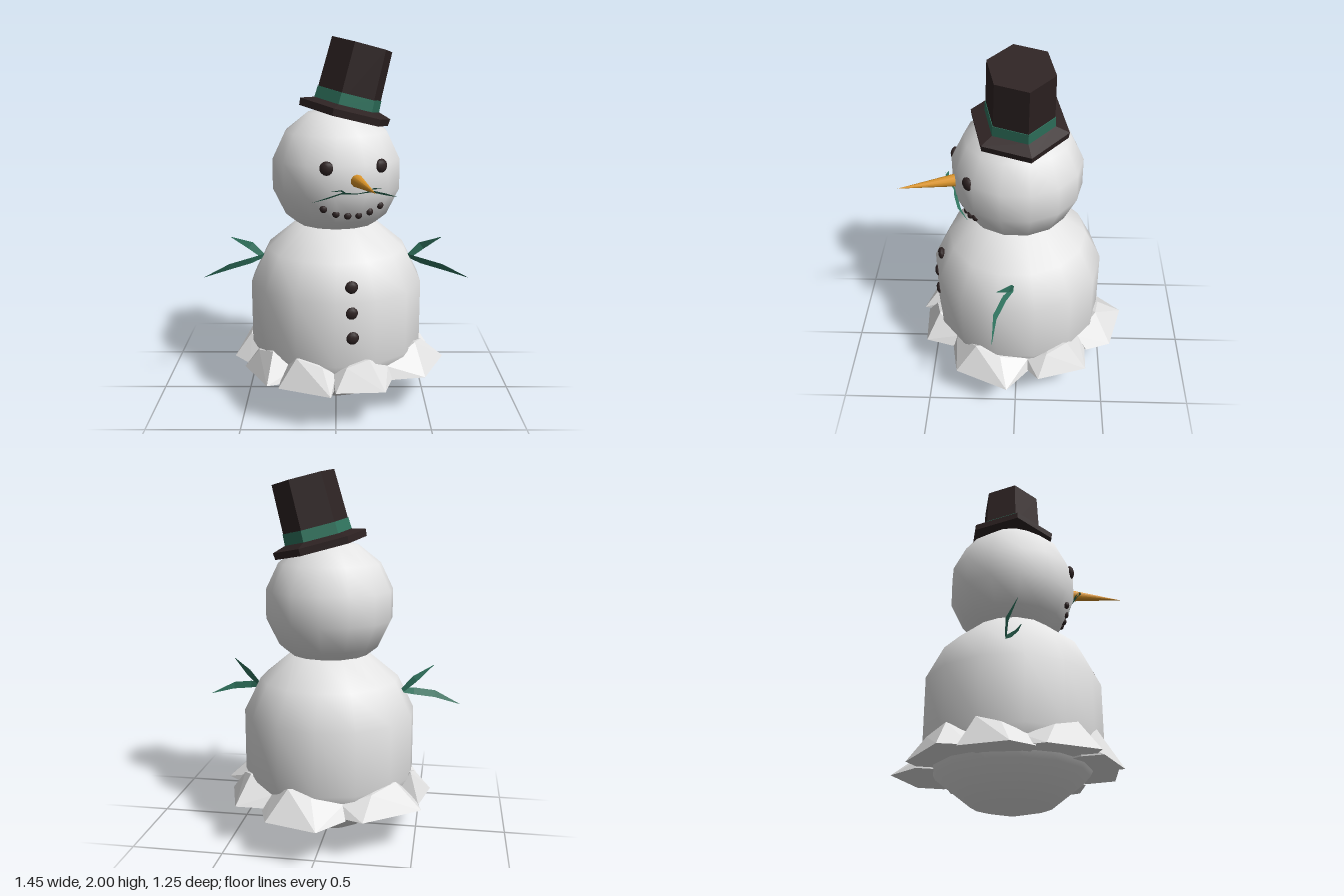
import * as THREE from 'three';
import { ConvexGeometry } from 'three/addons/geometries/ConvexGeometry.js';

const makeMaterial = (name, color, side = THREE.FrontSide) =>
  Object.assign(new THREE.MeshStandardMaterial({ color, side }), { name });
const V = (x, y, z) => new THREE.Vector3(x, y, z);

export function createModel() {
  const snow = makeMaterial('snow', 0xe4e4e4);
  const dark = makeMaterial('charcoal', 0x2e2323);
  const green = makeMaterial('green', 0x30745f, THREE.DoubleSide);
  const orange = makeMaterial('carrot', 0xdd962a);

  const model = new THREE.Group();
  model.name = 'snowman';

  const add = (name, geometry, material, parent = model) => {
    const mesh = new THREE.Mesh(geometry, material);
    mesh.name = name;
    parent.add(mesh);
    return mesh;
  };
  const faceted = (geometry) => {
    const flat = geometry.toNonIndexed();
    flat.computeVertexNormals();
    return flat;
  };

  // Body and head: coarse but smooth-shaded balls
  const bodyProfile = [[0, 0], [0.215, 0.05], [0.4, 0.195], [0.477, 0.34], [0.477, 0.685],
    [0.385, 0.87], [0.215, 1.01], [0, 1.05]].map(([r, y]) => new THREE.Vector2(r, y));
  add('body', new THREE.LatheGeometry(bodyProfile, 14), snow);

  const headY = 1.283;
  const head = add('head', new THREE.SphereGeometry(0.358, 14, 7), snow);
  head.position.y = headY;
  head.rotation.y = Math.PI / 2;

  // Snow lumps around the base: each has four outline corners as x, z pairs
  const lumps = [
    [[-0.16, -0.47], [-0.03, -0.63], [0.25, -0.55], [0.3, -0.41]],
    [[0.28, -0.4], [0.45, -0.4], [0.535, -0.13], [0.47, -0.07]],
    [[0.46, -0.08], [0.61, 0.045], [0.48, 0.335], [0.29, 0.37]],
    [[0.3, 0.37], [0.255, 0.53], [0, 0.545], [-0.02, 0.46]],
    [[0, 0.46], [-0.025, 0.575], [-0.3, 0.47], [-0.28, 0.36]],
    [[-0.24, 0.42], [-0.36, 0.46], [-0.5, 0.21], [-0.47, 0.1]],
    [[-0.48, 0.16], [-0.575, 0.05], [-0.52, -0.2], [-0.45, -0.15]],
    [[-0.5, -0.14], [-0.54, -0.29], [-0.25, -0.5], [-0.14, -0.46]],
  ];
  lumps.forEach((outline, i) => {
    const base = 0.22 + 0.008 * (i % 2);
    const points = [];
    const atRadius = ([x, z], r, y) => {
      const k = r / Math.hypot(x, z);
      points.push(V(x * k, y, z * k));
    };
    outline.forEach(([x, z]) => points.push(V(x, base, z)));
    const [a, b, c, d] = outline;
    const mix = (p, q, t) => [p[0] + (q[0] - p[0]) * t, p[1] + (q[1] - p[1]) * t];
    [a, d].forEach((p) => { atRadius(p, 0.4, base); atRadius(p, 0.44, 0.29); });
    // Uneven ridge along the top
    const high = i % 2 ? 0.375 : 0.34;
    atRadius(mix(b, c, 0.2), 0.485, high);
    atRadius(mix(b, c, 0.75), 0.485, 0.715 - high);
    atRadius(mix(b, c, 0.5), 0.42, 0.36);
    add('snowLump', new ConvexGeometry(points), snow);
  });

  // Coal pieces: small flattened balls turned to face outwards
  const coal = (name, x, y, z, r, parent, depth = 0.6) => {
    const mesh = add(name, new THREE.SphereGeometry(r, 10, 7), dark, parent);
    mesh.position.set(x, y, z);
    mesh.scale.z = depth;
    mesh.rotation.y = Math.atan2(x, z);
  };
  coal('button', 0.08, 0.76, 0.43, 0.034, model);
  coal('button', 0.08, 0.63, 0.455, 0.034, model);
  coal('button', 0.085, 0.495, 0.455, 0.035, model);

  // Tapered leaf ribbon along a few points
  const ribbon = (name, path, offset, parent) => {
    const positions = [], index = [];
    path.forEach((p, i) => {
      const taper = i === path.length - 1 ? 0.05 : i === 0 ? 0.6 : 1;
      [-1, 1].forEach((s) => positions.push(...p.map((v, k) => v + s * taper * offset[k])));
      if (i) {
        const n = 2 * i;
        index.push(n - 2, n, n - 1, n, n + 1, n - 1);
      }
    });
    const geometry = new THREE.BufferGeometry();
    geometry.setAttribute('position', new THREE.Float32BufferAttribute(positions, 3));
    geometry.setIndex(index);
    add(name, faceted(geometry), green, parent);
  };

  // Face, turned slightly to the model's left
  const face = new THREE.Group();
  face.name = 'face';
  face.rotation.y = 0.31;
  model.add(face);
  const onHead = (x, y) => Math.sqrt(0.346 ** 2 - x ** 2 - (y - headY) ** 2);

  const noseFrom = V(0.005, 1.29, 0.31), noseTo = V(-0.01, 1.285, 0.645);
  const axis = noseTo.clone().sub(noseFrom);
  const nose = add('nose', new THREE.ConeGeometry(0.037, axis.length(), 10), orange, face);
  nose.position.copy(noseFrom).lerp(noseTo, 0.5);
  nose.quaternion.setFromUnitVectors(V(0, 1, 0), axis.normalize());

  for (const s of [-1, 1]) {
    coal('eye', s * 0.147, 1.355, onHead(0.147, 1.355), 0.037, face);
    [[0.03, 1.1], [0.092, 1.113], [0.155, 1.14]].forEach(([x, y]) =>
      coal('mouthCoal', s * x, y, onHead(x, y), 0.02, face, 0.8));

    // Moustache half with a small side leaf
    ribbon('moustache', [[0, 1.223, 0.345], [s * 0.08, 1.234, 0.355],
      [s * 0.155, 1.214, 0.355], [s * 0.23, 1.19, 0.33]], [0, 0.006, 0.009], face);
    ribbon('moustacheLeaf', [[s * 0.05, 1.225, 0.345], [s * 0.085, 1.247, 0.355],
      [s * 0.14, 1.248, 0.365]], [0, 0.005, 0.006], face);

    // Leafy arm with a long lower blade and a short upper blade
    const arm = new THREE.Group();
    arm.name = s > 0 ? 'leftArm' : 'rightArm';
    model.add(arm);
    ribbon('lowerBlade', [[s * 0.4, 0.805, 0.005], [s * 0.47, 0.79, 0.055],
      [s * 0.585, 0.767, 0.1], [s * 0.725, 0.71, 0.11]], [0, 0.018, 0.008], arm);
    ribbon('upperBlade', [[s * 0.405, 0.8, 0.01], [s * 0.475, 0.868, 0.025],
      [s * 0.575, 0.935, 0.09]], [s * 0.012, -0.016, 0.008], arm);
  }

  // Tilted six-sided top hat
  const hat = new THREE.Group();
  hat.name = 'hat';
  hat.position.set(0.045, 1.585, -0.012);
  hat.rotation.set(-0.03, 0, -0.25);
  model.add(hat);
  const hexagon = (name, top, bottom, y0, y1, material) => {
    const geometry = new THREE.CylinderGeometry(top, bottom, y1 - y0, 6, 1, false, Math.PI / 4);
    add(name, faceted(geometry), material, hat).position.y = (y0 + y1) / 2;
  };
  hexagon('brimEdge', 0.26, 0.256, 0, 0.038, dark);
  hexagon('brimTop', 0.18, 0.26, 0.038, 0.062, dark);
  hexagon('hatBand', 0.183, 0.187, 0.055, 0.122, green);
  hexagon('crown', 0.172, 0.182, 0.06, 0.386, dark);

  return model;
}
